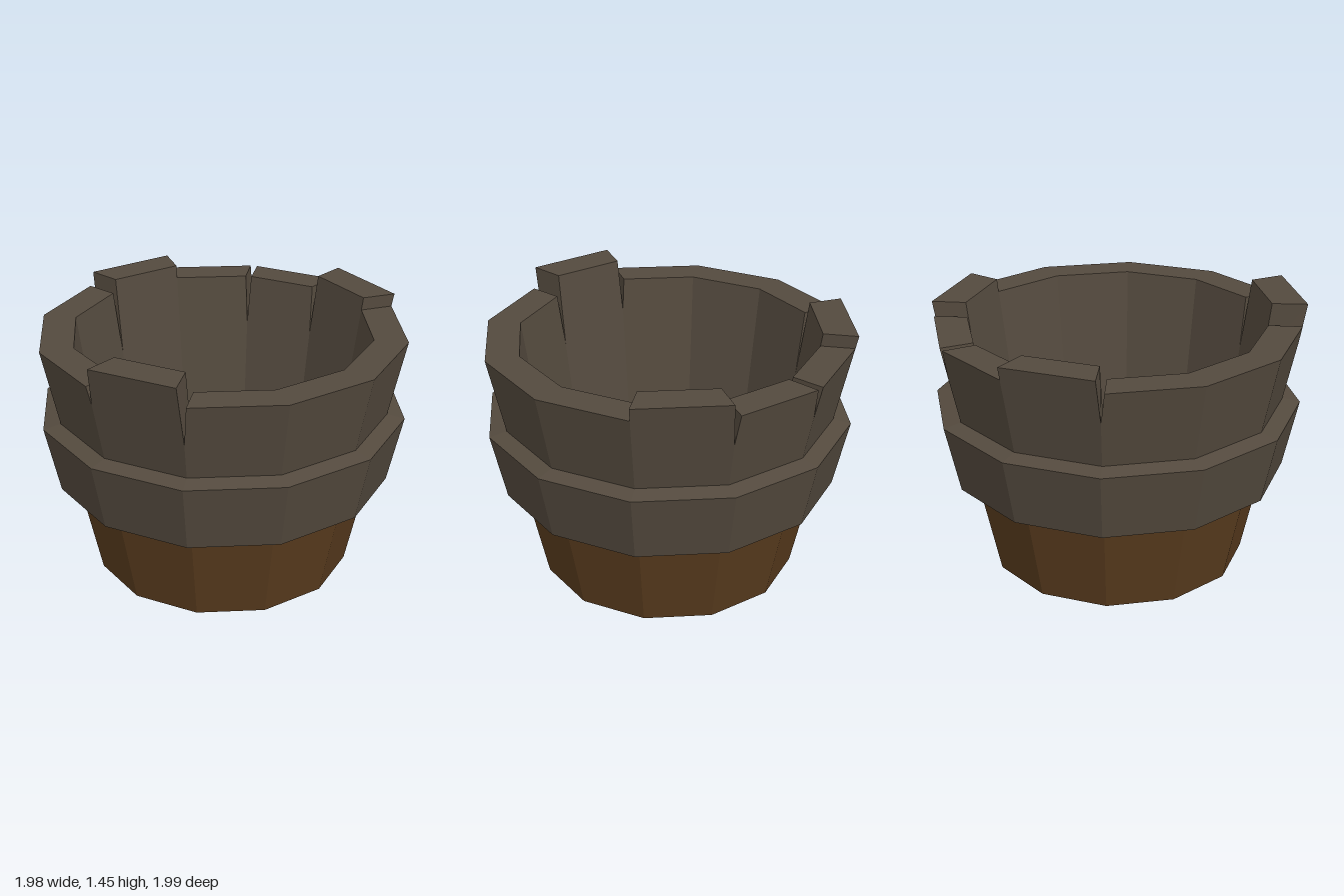
import * as THREE from 'three';

const SIDES = 12;
const BASE = 0.53; // height where the upper staves start
const RIM = 1.34; // height of the plain rim

const outerRadius = (y) => 0.7 + 0.213 * y;
const innerRadius = (y) => 0.69 + 0.142 * (y - BASE);

// V-shaped splits between staves: corner index -> [outer depth, inner depth]
const SPLITS = { 0: [1.12, 1.05], 5: [1.17, 1.07], 6: [1.17, 1.07], 8: [1.17, 0.98], 11: [1.24, 1.16] };
// Staves that stand above the rim
const TALL = { 4: 1.41, 7: 1.41, 11: 1.45 };

function lathe(profile, material, name) {
  const points = profile.map(([x, y]) => new THREE.Vector2(x, y));
  const mesh = new THREE.Mesh(new THREE.LatheGeometry(points, SIDES), material);
  mesh.name = name;
  return mesh;
}

// One wall board: six-point outline on the outside and inside, joined round the top
function staveGeometry(k) {
  const top = TALL[k] ?? RIM;
  const a0 = (k / SIDES) * Math.PI * 2;
  const a1 = ((k + 1) / SIDES) * Math.PI * 2;
  const left = SPLITS[k];
  const right = SPLITS[(k + 1) % SIDES];
  const gapL = left ? 0.04 : 0;
  const gapR = right ? 0.04 : 0;

  const outline = (radius, side) => {
    const place = (u, y) => {
      const r = radius(y);
      return [
        r * THREE.MathUtils.lerp(Math.sin(a0), Math.sin(a1), u),
        y,
        r * THREE.MathUtils.lerp(Math.cos(a0), Math.cos(a1), u),
      ];
    };
    return [
      place(0, BASE), place(1, BASE),
      place(1, right ? right[side] : RIM), place(1 - gapR, top),
      place(gapL, top), place(0, left ? left[side] : RIM),
    ];
  };

  const out = outline(outerRadius, 0);
  const inn = outline(innerRadius, 1);
  const positions = [];
  const tri = (a, b, c) => positions.push(...a, ...b, ...c);
  for (let i = 1; i < 5; i++) {
    tri(out[0], out[i], out[i + 1]);
    tri(inn[0], inn[i + 1], inn[i]);
  }
  // split faces and top edge
  for (let i = 2; i < 5; i++) {
    tri(out[i], inn[i], inn[i + 1]);
    tri(out[i], inn[i + 1], out[i + 1]);
  }
  const geometry = new THREE.BufferGeometry();
  geometry.setAttribute('position', new THREE.Float32BufferAttribute(positions, 3));
  geometry.computeVertexNormals();
  return geometry;
}

export function createModel() {
  const material = (name, color) => {
    const m = new THREE.MeshStandardMaterial({ color, flatShading: true });
    m.name = name;
    return m;
  };
  const greyWood = material('grey wood', 0x544a3e);
  const brownWood = material('brown wood', 0x5a3c1e);
  const darkFill = material('dark filling', 0x262626);

  const model = new THREE.Group();
  model.name = 'bucket';

  // Brown lower tub with its hollow inside
  model.add(lathe([[0, 0], [0.7, 0], [0.813, BASE], [0.69, BASE], [0.67, 0.43]], brownWood, 'lowerTub'));

  // Dark surface inside the tub
  model.add(lathe([[0.67, 0.43], [0, 0.43]], darkFill, 'insideFloor'));

  // Thick band around the middle
  model.add(lathe([[0.81, BASE], [0.91, BASE], [0.99, 0.9], [0.895, 0.92]], greyWood, 'middleBand'));

  // Upper wall of twelve staves
  const wall = new THREE.Group();
  wall.name = 'upperWall';
  for (let k = 0; k < SIDES; k++) {
    const stave = new THREE.Mesh(staveGeometry(k), greyWood);
    stave.name = TALL[k] ? 'tallStave' : 'stave';
    wall.add(stave);
  }
  model.add(wall);

  return model;
}
